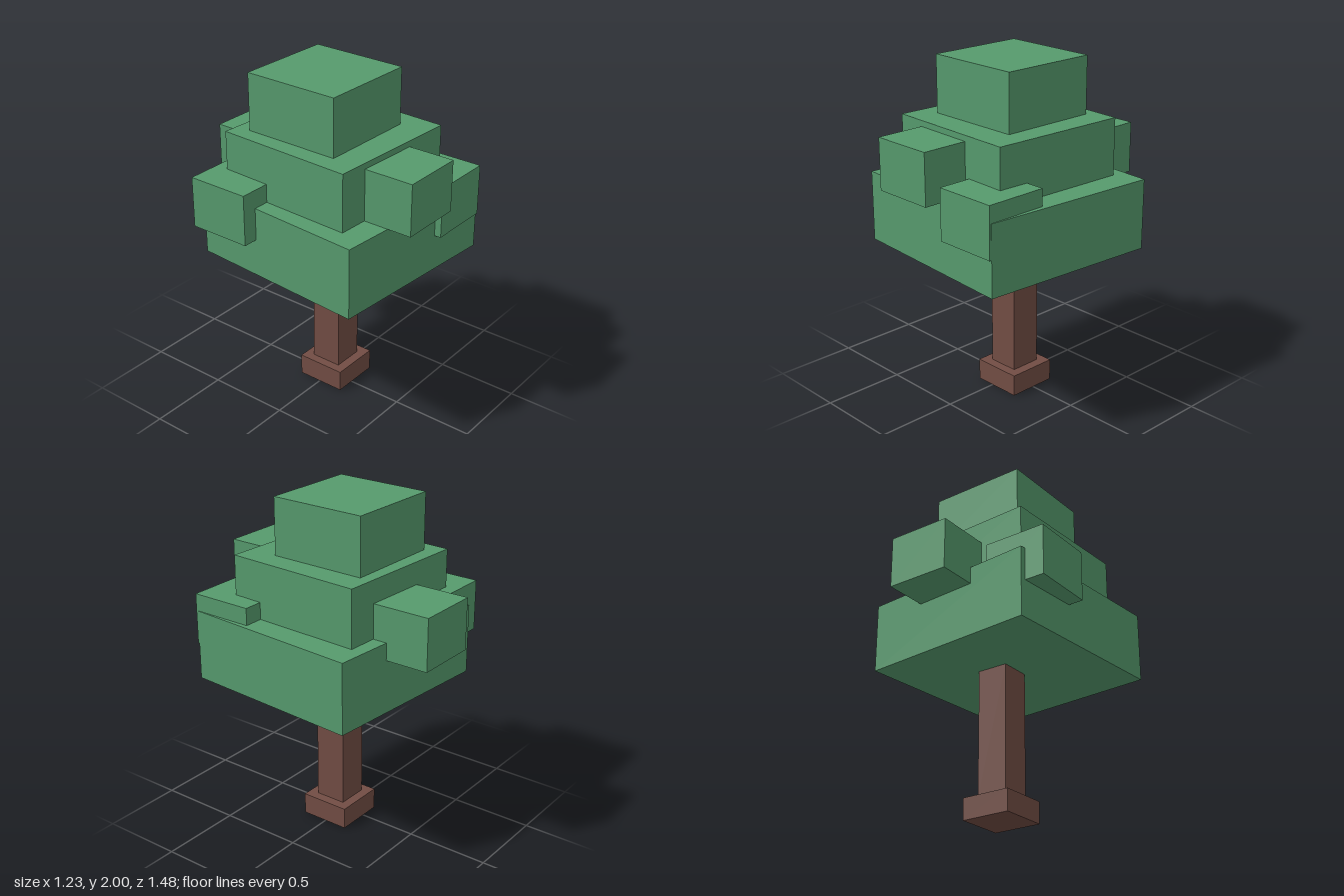
import * as THREE from 'three';

export function createModel() {
  const tree = new THREE.Group();
  tree.name = 'blockyTree';

  const leaf = new THREE.MeshStandardMaterial({ color: 0x569a6d });
  leaf.name = 'leafGreen';
  const bark = new THREE.MeshStandardMaterial({ color: 0x724d44 });
  bark.name = 'barkBrown';

  // Box given by its footprint centre, size, bottom and top, with a slight turn
  function block(name, material, [x, z], width, bottom, top, turn = 0) {
    const mesh = new THREE.Mesh(new THREE.BoxGeometry(width, top - bottom, width), material);
    mesh.name = name;
    mesh.position.set(x, (bottom + top) / 2, z);
    mesh.rotation.y = turn;
    tree.add(mesh);
  }

  // Trunk on a wider foot
  block('trunkBase', bark, [0.036, 0.007], 0.303, 0, 0.13);
  block('trunk', bark, [0.034, 0.007], 0.19, 0.13, 0.9);

  // Three stacked foliage tiers, each turned a little
  block('lowerFoliage', leaf, [0.019, 0.057], 1.106, 0.9, 1.32, -0.0745);
  block('middleFoliage', leaf, [-0.005, 0.022], 0.852, 1.32, 1.66, -0.046);
  block('topFoliage', leaf, [-0.024, -0.024], 0.597, 1.66, 2, -0.0125);

  // Small leaf clumps around the tiers
  block('frontClump', leaf, [-0.078, 0.545], 0.383, 1.32, 1.625);
  block('backClump', leaf, [0.065, -0.55], 0.383, 1.217, 1.525);
  block('rightClump', leaf, [-0.422, -0.311], 0.383, 1.125, 1.43);
  block('frontLeftClump', leaf, [0.335, 0.47], 0.383, 1.117, 1.422);

  return tree;
}
